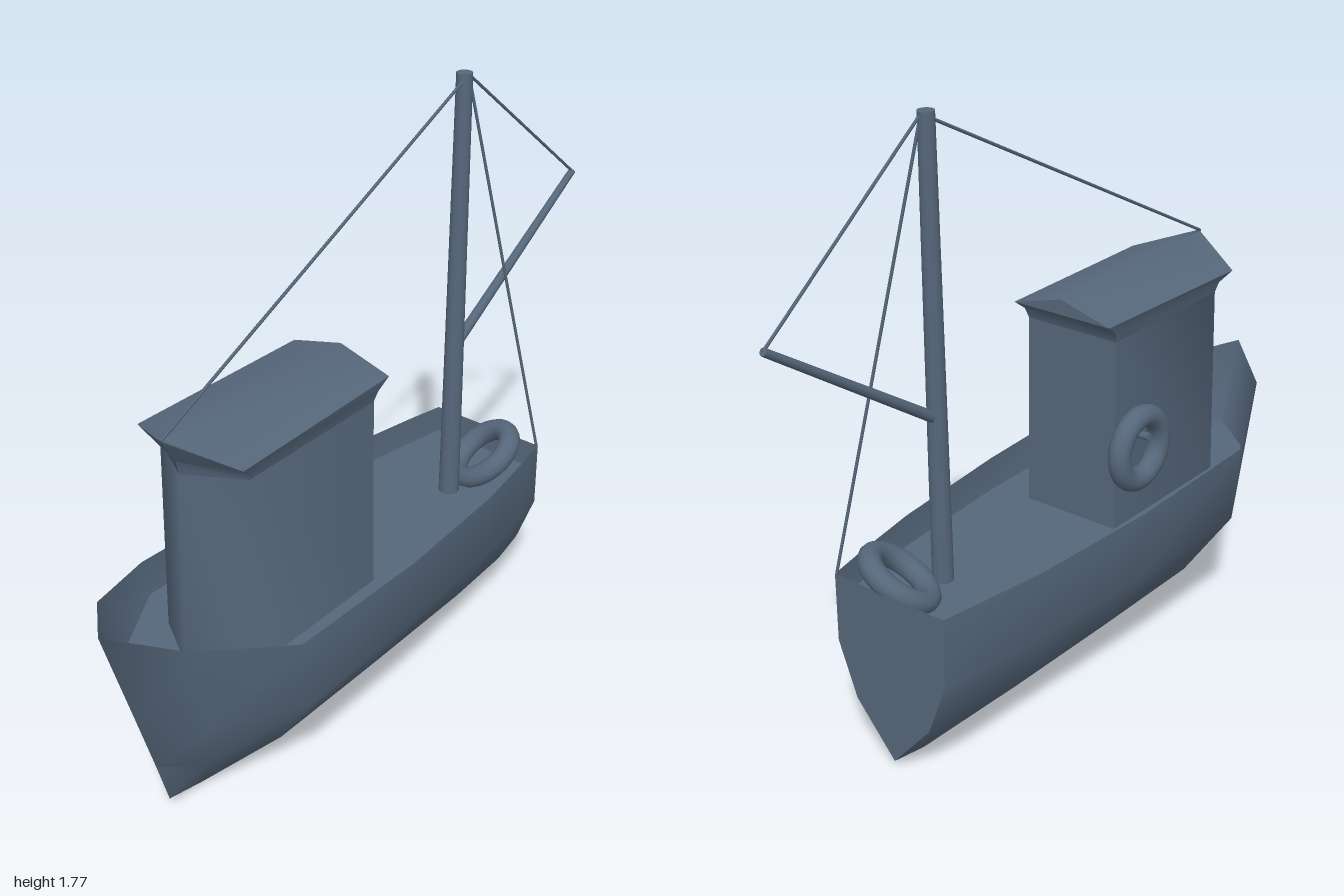
import * as THREE from 'three';
import { toCreasedNormals } from 'three/addons/utils/BufferGeometryUtils.js';

const paint = new THREE.MeshStandardMaterial({ color: 0x56677b, side: THREE.DoubleSide });

// Skin through equal-length rows of [x, y, z] points
function loft(rows, closed, crease) {
  const n = rows[0].length, index = [];
  for (let i = 0; i < rows.length - 1; i++) {
    for (let j = 0; j < (closed ? n : n - 1); j++) {
      const k = (j + 1) % n;
      const a = i * n + j, b = i * n + k, c = a + n, d = b + n;
      index.push(a, b, c, b, d, c);
    }
  }
  const geo = new THREE.BufferGeometry();
  geo.setAttribute('position', new THREE.Float32BufferAttribute(rows.flat(2), 3));
  geo.setIndex(index);
  return toCreasedNormals(geo, crease);
}

// Flat mirrored plate from one half outline
function plate(half) {
  const other = half.map(([x, y]) => [-x, y]).reverse();
  const pts = [...half, ...other].map(([x, y]) => new THREE.Vector2(x, y));
  return new THREE.ShapeGeometry(new THREE.Shape(pts));
}

// Round bar between two points
function bar(from, to, r0, r1, sides) {
  const a = new THREE.Vector3(...from), b = new THREE.Vector3(...to);
  const dir = b.clone().sub(a);
  const geo = new THREE.CylinderGeometry(r1, r0, dir.length(), sides);
  geo.applyQuaternion(new THREE.Quaternion().setFromUnitVectors(new THREE.Vector3(0, 1, 0), dir.normalize()));
  const mid = a.add(b).multiplyScalar(0.5);
  return geo.translate(mid.x, mid.y, mid.z);
}

export function createModel() {
  const boat = new THREE.Group();
  boat.name = 'fishingBoat';
  const add = (name, geo) => {
    const mesh = new THREE.Mesh(geo, paint);
    mesh.name = name;
    boat.add(mesh);
    return mesh;
  };

  // Hull: half sections from bow to stern, each gunwale, chine, bilge, keel
  const stations = [
    [[0, 0.71, 1], [0, 0.38, 0.9], [0, 0.18, 0.84], [0, 0.04, 0.8]],
    [[0.165, 0.655, 0.85], [0.145, 0.35, 0.78], [0.075, 0.15, 0.73], [0, 0.01, 0.67]],
    [[0.29, 0.57, 0.57], [0.29, 0.35, 0.53], [0.145, 0.135, 0.5], [0, 0, 0.47]],
    [[0.283, 0.553, 0.08], [0.283, 0.35, 0.08], [0.145, 0.135, 0.08], [0, 0, 0.08]],
    [[0.25, 0.543, -0.33], [0.25, 0.34, -0.33], [0.145, 0.14, -0.33], [0, 0, -0.33]],
    [[0.212, 0.538, -0.56], [0.212, 0.335, -0.56], [0.14, 0.15, -0.56], [0, 0, -0.56]],
    [[0.19, 0.535, -0.675], [0.19, 0.33, -0.675], [0.13, 0.17, -0.675], [0, 0.02, -0.675]],
  ];
  const mirrored = stations.map((s) => [...s, ...s.slice(0, 3).reverse().map(([x, y, z]) => [-x, y, z])]);
  add('hull', loft(mirrored, false, 1.5));

  // Transom closes the stern
  const stern = stations[stations.length - 1].map(([x, y]) => [x, y]);
  add('transom', plate(stern).rotateY(Math.PI).translate(0, 0, -0.675));

  // Deck sits below the gunwale
  const deckY = 0.45;
  const deckHalf = [[0, -0.92], [0.147, -0.8], [0.287, -0.55], [0.281, -0.08], [0.248, 0.33], [0.21, 0.56], [0.188, 0.674]];
  add('deck', plate(deckHalf).rotateX(-Math.PI / 2).translate(0, deckY, 0));

  // Wheelhouse: five-sided plan with a pointed front
  const ring = (w, sideY, back, corner, tip, tipY = sideY) => [
    [w, sideY, back], [w, sideY, corner], [0, tipY, tip], [-w, sideY, corner], [-w, sideY, back],
  ];
  add('wheelhouse', loft([
    ring(0.153, 1.04, 0.105, 0.6, 0.69),
    ring(0.157, deckY, 0.105, 0.61, 0.71),
  ], true, 1.2));

  // Roof: low ridge, overhanging eaves and a flare down to the walls
  const ridge = ring(0, 1.135, 0.055, 0.65, 0.745, 1.155);
  ridge[1][1] = ridge[3][1] = 1.152;
  const eave = ring(0.18, 1.09, 0.055, 0.65, 0.745, 1.15);
  eave[0][0] = 0.165;
  eave[4][0] = -0.165;
  add('roof', loft([
    ridge,
    eave,
    ring(0.16, 1.06, 0.095, 0.61, 0.7, 1.075),
    ring(0.153, 1.03, 0.105, 0.6, 0.69),
  ], true, 0.9));

  // Mast and boom
  const mastTop = [0.032, 1.765, -0.438];
  const boomEnd = [0.055, 1.31, -0.99];
  add('mast', bar([0.045, deckY, -0.41], mastTop, 0.031, 0.023, 12));
  add('boom', bar([0.04, 0.94, -0.425], boomEnd, 0.016, 0.011, 10));

  // Rigging from the masthead
  const head = [0.038, 1.757, -0.45];
  const stays = { boomStay: boomEnd, roofStay: [0, 1.153, 0.745], sternStay: [0.188, 0.535, -0.67] };
  for (const [name, end] of Object.entries(stays)) add(name, bar(head, end, 0.0045, 0.0045, 6));

  // Life rings: one hung on the wheelhouse, one leaning in the stern corner
  const ringGeo = new THREE.TorusGeometry(0.097, 0.033, 12, 28);
  const hung = add('hungLifeRing', ringGeo);
  hung.rotation.y = Math.PI / 2;
  hung.position.set(-0.18, 0.685, 0.19);
  add('ringHook', bar([-0.15, 0.725, 0.19], [-0.213, 0.73, 0.19], 0.012, 0.012, 8));
  const leaning = add('leaningLifeRing', ringGeo);
  leaning.quaternion.setFromUnitVectors(
    new THREE.Vector3(0, 0, 1), new THREE.Vector3(-0.42, 0.8, 0.42).normalize());
  leaning.position.set(0.065, 0.515, -0.56);

  return boat;
}
